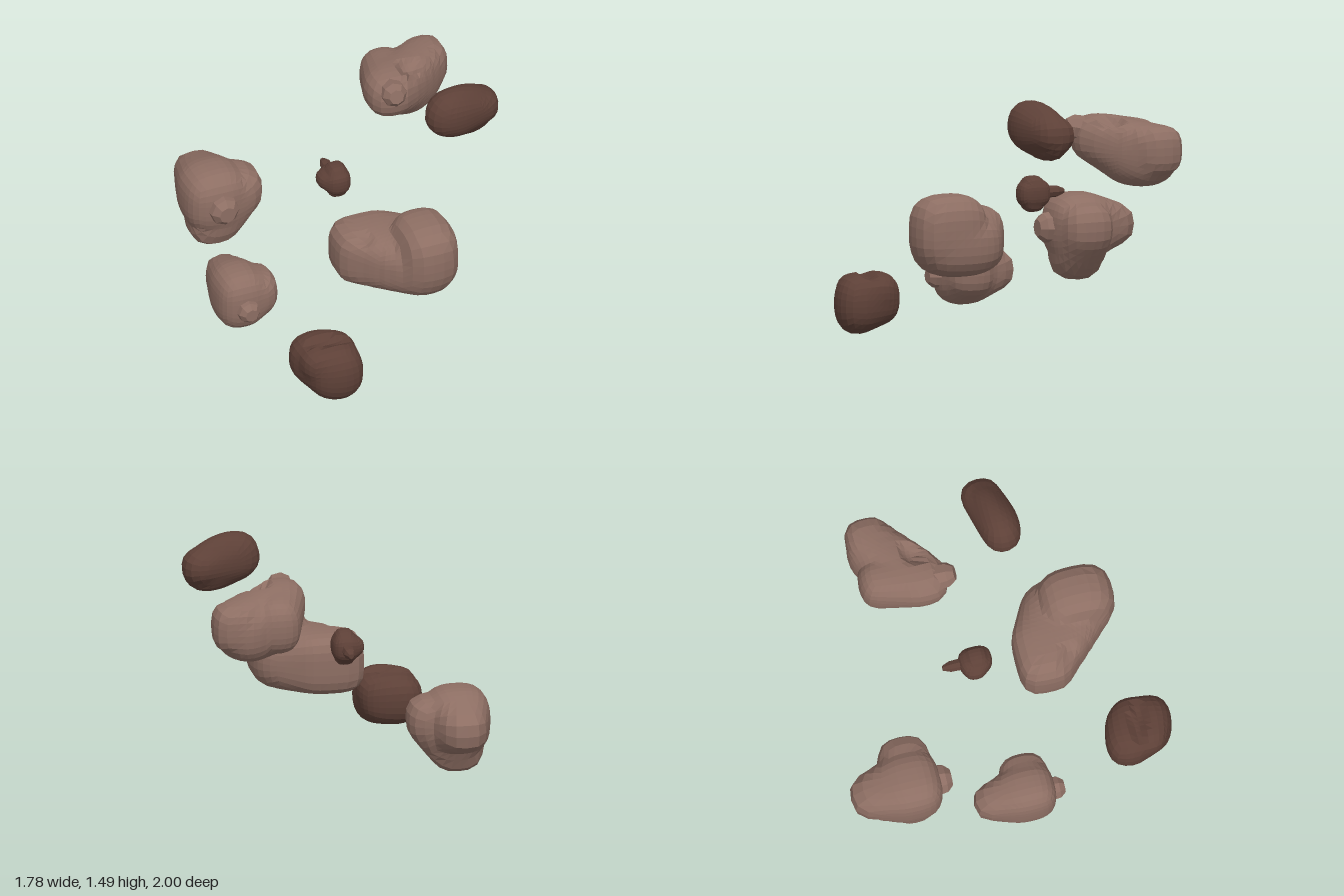
import * as THREE from 'three';

const light = new THREE.MeshStandardMaterial({ color: 0x8d6e63, flatShading: true });
const dark = new THREE.MeshStandardMaterial({ color: 0x5d4037, flatShading: true });

// A lobe is a rounded block: centre, radii, squareness, yaw and roll
const lobe = (c, r, p = 2.6, yaw = 0, roll = 0) => ({
  c: new THREE.Vector3(...c), r: new THREE.Vector3(...r), p,
  q: new THREE.Quaternion().setFromEuler(new THREE.Euler(0, yaw, roll)).invert(),
});

// In-between lobes that join two lobes with straight flanks
const bridge = (a, b) => [0.2, 0.4, 0.6, 0.8].map((s) => ({
  c: a.c.clone().lerp(b.c, s), r: a.r.clone().lerp(b.r, s),
  p: a.p + (b.p - a.p) * s, q: a.q.clone().slerp(b.q, s),
}));

const local = new THREE.Vector3();
function lobeDistance(pt, { c, r, p, q }) {
  local.copy(pt).sub(c).applyQuaternion(q).divide(r);
  const sum = Math.abs(local.x) ** p + Math.abs(local.y) ** p + Math.abs(local.z) ** p;
  return (sum ** (1 / p) - 1) * Math.min(r.x, r.y, r.z);
}

// Smooth union of the lobes, with the dents cut away
function field(pt, lobes, dents, k) {
  let sum = 0;
  for (const l of lobes) sum += Math.exp(-lobeDistance(pt, l) / k);
  let d = -k * Math.log(sum + 1e-30);
  for (const h of dents) d = Math.max(d, -lobeDistance(pt, h));
  return d;
}

// Push each vertex of a rounded cube outward from the centre to the rock's surface
function rock(name, material, centre, lobes, { dents = [], k = 0.005, n = 8 } = {}) {
  const geo = new THREE.BoxGeometry(2, 2, 2, n, n, n);
  const pos = geo.attributes.position;
  const o = new THREE.Vector3(...centre);
  const dir = new THREE.Vector3(), pt = new THREE.Vector3();
  const at = (t) => field(pt.copy(o).addScaledVector(dir, t), lobes, dents, k);
  for (let i = 0; i < pos.count; i++) {
    dir.fromBufferAttribute(pos, i);
    // even out the spacing of the cube grid
    dir.set(...dir.toArray().map((v) => Math.tan(v * Math.PI / 4))).normalize();
    let t = 0.6;
    while (t > 0.02 && at(t) > 0) t -= 0.008;
    let lo = t, hi = t + 0.008;
    for (let s = 0; s < 8; s++) {
      const mid = (lo + hi) / 2;
      if (at(mid) > 0) hi = mid; else lo = mid;
    }
    pos.setXYZ(i, ...dir.multiplyScalar(lo).toArray());
  }
  geo.computeVertexNormals();
  const mesh = new THREE.Mesh(geo, material);
  mesh.name = name;
  mesh.position.copy(o);
  return mesh;
}

// Eight-sided stub growing from base along dir, with a chamfered tip
function knob(name, material, base, dir, radius, length, tip = 0.6) {
  const profile = [[radius * 1.1, 0], [radius, length * 0.65], [radius * tip, length], [0, length]];
  const geo = new THREE.LatheGeometry(profile.map((p) => new THREE.Vector2(...p)), 8);
  const mesh = new THREE.Mesh(geo, material);
  mesh.name = name;
  mesh.position.set(...base);
  mesh.quaternion.setFromUnitVectors(new THREE.Vector3(0, 1, 0), new THREE.Vector3(...dir).normalize());
  return mesh;
}

// Rock with a tapering tail, a side bulge, a belly and a front knob
function knobbedRock(name, centre, [sx, sy, sz], bellyDrop, knobY) {
  const part = (c, r, p) => lobe(
    [centre[0] + c[0] * sx, centre[1] + c[1] * sy, centre[2] + c[2] * sz],
    [r[0] * sx, r[1] * sy, r[2] * sz], p);
  const body = part([0, 0, 0], [0.193, 0.2, 0.18], 2.8);
  const tail = part([0, 0, -0.24], [0.125, 0.12, 0.125], 2.6);
  const bulge = part([0.17, 0.01, 0], [0.13, 0.14, 0.15], 2.6);
  const belly = part([0, -bellyDrop, 0], [0.155, 0.145, 0.145], 2.6);
  const set = new THREE.Group();
  set.name = name;
  set.add(
    rock('boulder', light, centre,
      [body, tail, bulge, belly, ...bridge(body, tail), ...bridge(bulge, belly)], { k: 0.008 }),
    knob('frontKnob', light, [centre[0], knobY, centre[2] + 0.14 * sz], [0, 0, 1], 0.088 * sx, 0.105 * sz));
  return set;
}

export function createModel() {
  const group = new THREE.Group();
  group.name = 'rockField';

  group.add(knobbedRock('rearKnobbedRock', [-0.615, 0.53, -0.635], [1, 1, 1], 0.175, 0.53));
  group.add(knobbedRock('sideKnobbedRock', [-0.738, 0.283, 0.05], [0.77, 0.94, 0.9], 0.05, 0.265));

  // Chunky rock with a groove across its top
  const back = lobe([-0.495, 0.2, 0.715], [0.18, 0.152, 0.13], 2.5, -0.2);
  const front = lobe([-0.45, 0.175, 0.87], [0.16, 0.174, 0.125], 2.3, -0.2);
  const crown = lobe([-0.475, 0.245, 0.79], [0.175, 0.11, 0.17], 2.8, -0.2);
  group.add(rock('groovedRock', dark, [-0.475, 0.18, 0.79],
    [back, front, crown, ...bridge(back, front)],
    { dents: [lobe([-0.49, 0.375, 0.785], [0.26, 0.055, 0.05], 2, -0.2)] }));

  // Largest rock: tall front end, low square back end and a shallow crater
  const low = lobe([-0.03, 0.605, 0.315], [0.207, 0.185, 0.165], 3.5);
  const base = lobe([0.22, 0.6, 0.52], [0.195, 0.185, 0.265], 2.6);
  const tall = lobe([0.235, 0.69, 0.585], [0.178, 0.22, 0.225], 2.9);
  group.add(rock('largeRock', light, [0.09, 0.61, 0.45],
    [low, base, tall, ...bridge(low, base)],
    { dents: [lobe([-0.13, 0.83, 0.49], [0.1, 0.1, 0.1], 2)], n: 10 }));

  // Small rock with a spike at the back
  const core = lobe([-0.045, 0.835, -0.1], [0.077, 0.083, 0.1], 2.8);
  const post = lobe([-0.045, 0.833, -0.095], [0.065, 0.108, 0.07], 3.2);
  const cheek = lobe([-0.115, 0.838, -0.115], [0.045, 0.05, 0.06], 2.4);
  group.add(rock('smallRock', dark, [-0.045, 0.833, -0.1],
    [core, post, cheek, ...bridge(core, cheek)], { k: 0.002, n: 7 }));
  group.add(knob('smallRockSpike', dark, [-0.048, 0.838, -0.17], [0, 0, -1], 0.034, 0.13, 0.45));

  // Long leaning rock: high near end, low far end, a knob and a shallow crater
  const main = lobe([0.59, 1.125, -0.5], [0.225, 0.182, 0.17], 2.5, 0.6);
  const near = lobe([0.385, 1.215, -0.315], [0.145, 0.14, 0.15], 2.5);
  const far = lobe([0.715, 1.17, -0.565], [0.13, 0.145, 0.132], 3);
  const shoulder = lobe([0.45, 1.155, -0.55], [0.135, 0.165, 0.135], 2.5);
  group.add(rock('leaningRock', light, [0.54, 1.15, -0.45],
    [main, near, far, shoulder, ...bridge(near, main), ...bridge(near, shoulder), ...bridge(near, far)],
    { dents: [lobe([0.54, 1.38, -0.34], [0.11, 0.1, 0.08], 2, 0.35)], n: 10 }));
  group.add(knob('leaningRockKnob', light, [0.37, 1.265, -0.24], [-0.1, 0.25, 1], 0.075, 0.12));

  // Flattened high rock, tilted down toward one end, with a raised end
  const slab = lobe([0.65, 1.322, 0.175], [0.24, 0.16, 0.105], 2.2, 0.25, -0.3);
  const face = lobe([0.575, 1.335, 0.2], [0.165, 0.145, 0.12], 2.3, 0.1, -0.25);
  const end = lobe([0.785, 1.31, 0.14], [0.1, 0.1, 0.115], 2.4);
  group.add(rock('highRock', dark, [0.65, 1.32, 0.18],
    [slab, face, end, ...bridge(face, end)], { k: 0.004 }));

  return group;
}
